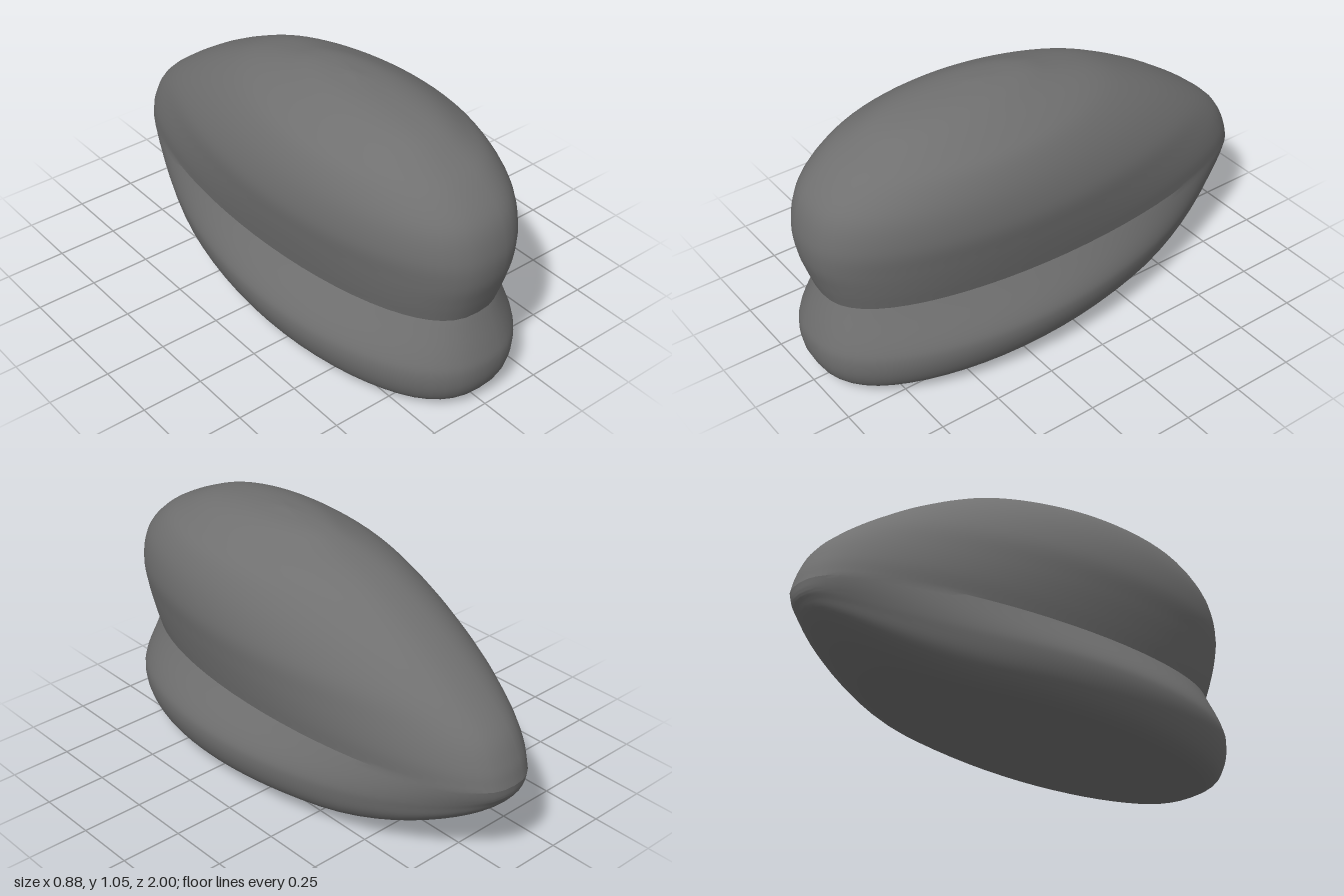
import * as THREE from 'three';
import { toCreasedNormals } from 'three/addons/utils/BufferGeometryUtils.js';

const SEAM = 0.39, SIDES = 64, STEPS = 5;

// Layers: [height, front z, back z, half width, taper towards the tail, pinch at both ends]
// For the base, height is 1 at the underside and 0 at the seam.
const BASE = [
  [1, 0.1, 0.1, 0, 0.2, 0.2], [1, 0.5, -0.35, 0.18, 0.2, 0.2], [1, 0.83, -0.74, 0.3, 0.2, 0.2],
  [0.92, 0.94, -0.88, 0.37, 0.2, 0.2], [0.76, 0.985, -0.95, 0.412, 0.2, 0.2],
  [0.54, 0.997, -0.98, 0.433, 0.2, 0.2], [0.35, 0.98, -0.995, 0.42, 0.17, 0.17],
  [0, 0.93, -1, 0.35, 0.05, 0.05],
];
const DOME = [
  [0.39, 0.93, -1, 0.35, 0.05, 0.05], [0.47, 0.957, -0.975, 0.366, 0.06, 0.06],
  [0.57, 0.985, -0.915, 0.382, 0.08, 0.1], [0.68, 0.988, -0.785, 0.392, 0.08, 0.1],
  [0.8, 0.95, -0.605, 0.37, 0.08, 0.1], [0.9, 0.85, -0.42, 0.322, 0.08, 0.1],
  [0.96, 0.74, -0.28, 0.258, 0.08, 0.1], [1.01, 0.615, -0.1, 0.178, 0.08, 0.1],
  [1.04, 0.44, 0.03, 0.1, 0.08, 0.1], [1.054, 0.22, 0.22, 0, 0.08, 0.1],
];

// The underside slopes up gently, then curves up at the tail
const underside = (z) => Math.max(0, 0.05 * (0.85 - z)) + 0.4 * Math.max(0, -0.3 - z) ** 2;

// Smoothly resampled layers turned into blunt teardrop rings
function makeRings(layers, heightAt) {
  const curve = (from) => new THREE.CatmullRomCurve3(
    layers.map((l) => new THREE.Vector3(...l.slice(from, from + 3))), false, 'catmullrom', 0.5);
  const ends = curve(0), widths = curve(3);
  const count = (layers.length - 1) * STEPS;
  return Array.from({ length: count + 1 }, (_, i) => {
    const { x: h, y: front, z: back } = ends.getPoint(i / count);
    const { x: w, y: taper, z: pinch } = widths.getPoint(i / count);
    return Array.from({ length: SIDES }, (_, j) => {
      const a = (j / SIDES) * Math.PI * 2, c = Math.cos(a), s = Math.sin(a);
      const z = (front + back) / 2 + ((front - back) / 2) * c;
      const x = w * Math.sign(s) * Math.abs(s) ** 0.8 * (1 + taper * c - pinch * c * c);
      return [x, heightAt(h, z), z];
    });
  });
}

// Skin the rings from the bottom pole to the top pole
function skin(rings) {
  const pos = [];
  const last = rings.length - 2;
  for (let i = 0; i <= last; i++) {
    for (let j = 0; j < SIDES; j++) {
      const k = (j + 1) % SIDES;
      const a = rings[i][j], b = rings[i][k], c = rings[i + 1][k], d = rings[i + 1][j];
      if (i > 0) pos.push(...a, ...b, ...c);
      if (i < last) pos.push(...a, ...c, ...d);
    }
  }
  const geo = new THREE.BufferGeometry();
  geo.setAttribute('position', new THREE.Float32BufferAttribute(pos, 3));
  return toCreasedNormals(geo, 0.35);
}

export function createModel() {
  const group = new THREE.Group();
  group.name = 'teardropShell';

  // Flared base below the seam, domed shell above it
  const base = makeRings(BASE, (t, z) => THREE.MathUtils.lerp(SEAM, underside(z), t));
  const dome = makeRings(DOME, (y) => y);

  const body = new THREE.Mesh(
    skin([...base, ...dome.slice(1)]),
    new THREE.MeshStandardMaterial({ color: 0x707070 }));
  body.name = 'body';
  group.add(body);
  return group;
}
